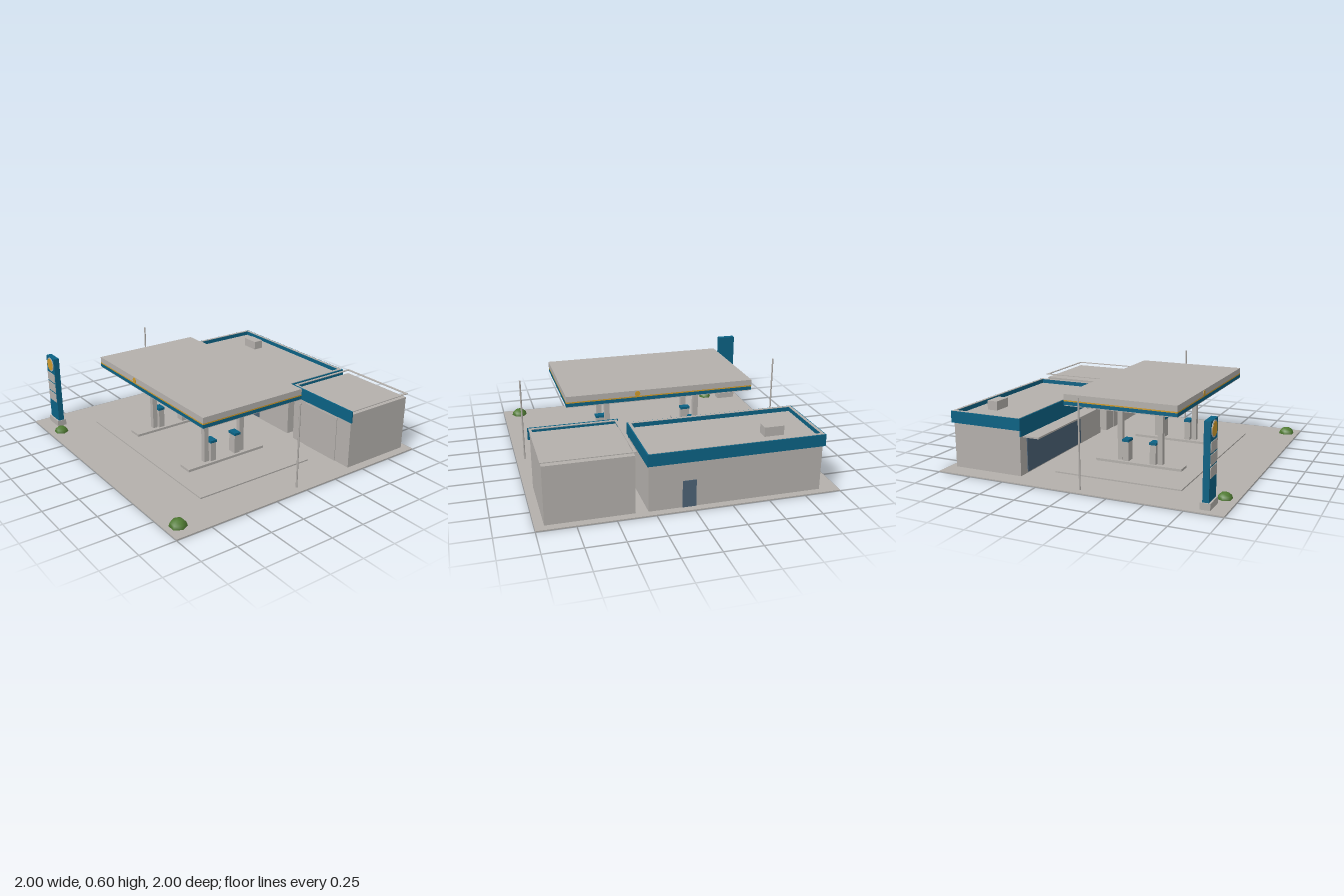
import * as THREE from 'three';

const mat = (name, color) => {
  const m = new THREE.MeshStandardMaterial({ color });
  m.name = name;
  return m;
};

export function createModel() {
  const root = new THREE.Group();
  root.name = 'fuelStation';
  const grey = mat('concreteGrey', 0xb4b0ac);
  const teal = mat('teal', 0x0b6284);
  const amber = mat('amber', 0xcf9b2c);
  const glass = mat('glassBlue', 0x4c6275);
  const green = mat('leafGreen', 0x4f7a32);

  const add = (name, geo, material, parent = root) => {
    const m = new THREE.Mesh(geo, material);
    m.name = name;
    parent.add(m);
    return m;
  };
  // Box given by its limits on each axis
  const box = (name, x0, x1, y0, y1, z0, z1, material, parent) => {
    const m = add(name, new THREE.BoxGeometry(x1 - x0, y1 - y0, z1 - z0), material, parent);
    m.position.set((x0 + x1) / 2, (y0 + y1) / 2, (z0 + z1) / 2);
    return m;
  };
  // Rectangular ring of wall thickness t
  const frame = (name, x0, x1, y0, y1, z0, z1, t, material, parent) => {
    const s = new THREE.Shape([[x0, -z0], [x0, -z1], [x1, -z1], [x1, -z0]].map(p => new THREE.Vector2(...p)));
    s.holes.push(new THREE.Path([[x0 + t, -z0 - t], [x1 - t, -z0 - t], [x1 - t, -z1 + t], [x0 + t, -z1 + t]]
      .map(p => new THREE.Vector2(...p))));
    const g = new THREE.ExtrudeGeometry(s, { depth: y1 - y0, bevelEnabled: false });
    g.rotateX(-Math.PI / 2);
    g.translate(0, y0, 0);
    return add(name, g, material, parent);
  };
  const disc = (name, x, y, z, r, material, parent) => {
    const m = add(name, new THREE.CylinderGeometry(r, r, 0.005, 28), material, parent);
    m.rotation.x = Math.PI / 2;
    m.position.set(x, y, z);
  };
  const group = name => {
    const g = new THREE.Group();
    g.name = name;
    root.add(g);
    return g;
  };

  // Ground and forecourt slab
  box('ground', -1, 1, 0, 0.007, -1, 1, grey);
  box('forecourtSlab', -0.71, 0.705, 0.007, 0.016, -0.27, 0.63, grey);

  // Canopy with coloured fascia bands
  const canopy = group('canopy');
  box('canopySoffit', -0.665, 0.662, 0.462, 0.47, -0.217, 0.577, grey, canopy);
  box('canopyTealBand', -0.668, 0.665, 0.468, 0.492, -0.22, 0.58, teal, canopy);
  box('canopyAmberBand', -0.668, 0.665, 0.492, 0.501, -0.22, 0.58, amber, canopy);
  box('canopyTop', -0.668, 0.665, 0.501, 0.541, -0.22, 0.58, grey, canopy);
  disc('canopyFrontBadge', -0.17, 0.518, 0.581, 0.019, amber, canopy);
  disc('canopyBackBadge', 0.17, 0.518, -0.221, 0.019, amber, canopy);

  // Pump islands with columns and pumps
  for (const x of [-0.334, 0.334]) {
    const island = group('pumpIsland');
    box('islandKerb', x - 0.05, x + 0.05, 0.016, 0.033, -0.13, 0.505, grey, island);
    for (const z of [0.04, 0.338])
      box('canopyColumn', x - 0.018, x + 0.018, 0.033, 0.463, z - 0.018, z + 0.018, grey, island);
    for (const z of [0.088, 0.29]) {
      box('pumpBody', x - 0.032, x + 0.032, 0.033, 0.17, z - 0.022, z + 0.022, grey, island);
      box('pumpCap', x - 0.036, x + 0.036, 0.17, 0.187, z - 0.025, z + 0.025, teal, island);
    }
  }

  // Shop with parapet
  const shop = group('shop');
  box('shopWalls', -0.872, 0.29, 0.007, 0.37, -0.95, -0.436, grey, shop);
  frame('shopParapet', -0.885, 0.3, 0.32, 0.4, -0.965, -0.426, 0.026, teal, shop);
  frame('shopCoping', -0.877, 0.292, 0.4, 0.403, -0.957, -0.434, 0.019, grey, shop);
  box('shopSignBoard', -0.872, 0.29, 0.275, 0.32, -0.436, -0.43, teal, shop);
  box('shopWindow', -0.79, -0.045, 0.015, 0.264, -0.436, -0.431, glass, shop);
  box('awning', -0.835, 0, 0.264, 0.275, -0.436, -0.318, grey, shop);
  box('backDoor', -0.02, 0.07, 0.007, 0.19, -0.954, -0.95, glass, shop);
  box('roofUnit', -0.652, -0.517, 0.37, 0.434, -0.83, -0.753, grey, shop);

  // Service bay with raised rim
  const bay = group('serviceBay');
  box('bayWalls', 0.372, 0.94, 0.007, 0.398, -0.947, -0.42, grey, bay);
  frame('bayRim', 0.364, 0.947, 0.421, 0.426, -0.956, -0.42, 0.017, grey, bay);
  box('bayFascia', 0.357, 0.953, 0.345, 0.427, -0.42, -0.41, teal, bay);
  box('bayDoor', 0.497, 0.813, 0.007, 0.33, -0.42, -0.415, grey, bay);

  // Price sign
  const sign = group('priceSign');
  box('signBase', -0.955, -0.81, 0.007, 0.05, 0.833, 0.9, grey, sign);
  box('signPost', -0.946, -0.815, 0.05, 0.541, 0.847, 0.888, teal, sign);
  disc('signRing', -0.881, 0.485, 0.889, 0.052, grey, sign);
  disc('signDisc', -0.881, 0.485, 0.8915, 0.044, amber, sign);
  for (let i = 0; i < 3; i++)
    box('pricePanel', -0.939, -0.823, 0.197 + i * 0.077, 0.263 + i * 0.077, 0.888, 0.892, grey, sign);

  // Light poles
  for (const x of [-0.942, 0.94])
    add('lightPole', new THREE.CylinderGeometry(0.006, 0.006, 0.59, 8), grey).position.set(x, 0.302, 0.038);

  // Bushes
  for (const [x, z, r] of [[-0.72, 0.915, 0.05], [0.88, 0.912, 0.058]]) {
    const bush = add('bush', new THREE.SphereGeometry(r, 6, 3, 0, Math.PI * 2, 0, Math.PI / 2), green);
    bush.scale.y = 0.85;
    bush.position.set(x, 0.007, z);
  }
  return root;
}
